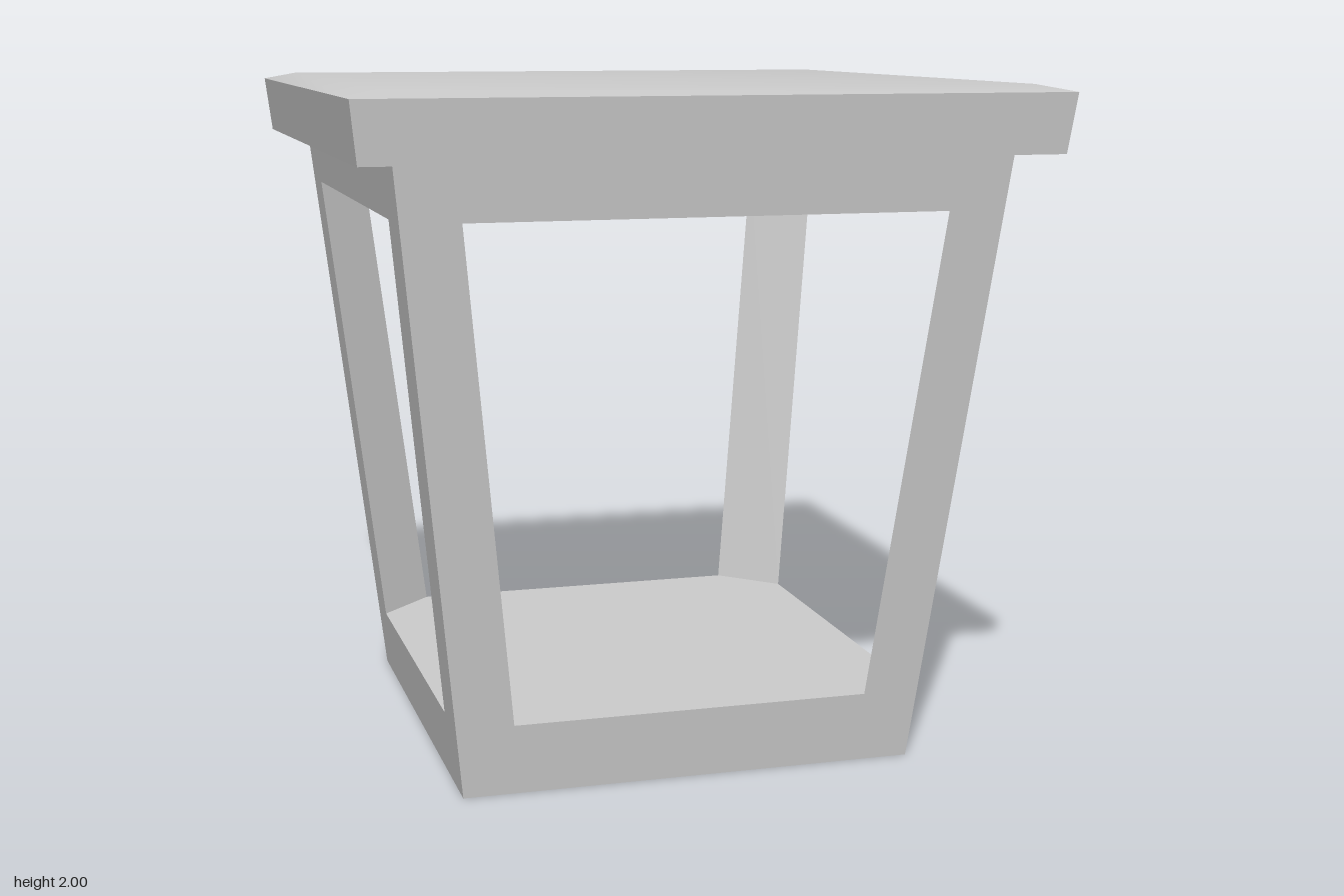
import * as THREE from 'three';
import { toCreasedNormals } from 'three/addons/utils/BufferGeometryUtils.js';

const FOOT = 0.675, NECK = 0.875, NECK_Y = 1.81;     // flaring square body
const SILL = { y: 0.21, w: 0.53 }, HEAD = { y: 1.65, w: 0.69 }; // window opening

// half width of the flaring body at height y
const half = (y) => FOOT + (NECK - FOOT) * y / NECK_Y;

const polygon = (points) => new THREE.Shape(points.map(([x, y]) => new THREE.Vector2(x, y)));

// sloping side sheet with its window
function wallGeometry() {
  const shape = polygon([[-FOOT, 0], [FOOT, 0], [NECK, NECK_Y], [-NECK, NECK_Y]]);
  shape.holes.push(polygon([
    [-SILL.w, SILL.y], [-HEAD.w, HEAD.y], [HEAD.w, HEAD.y], [SILL.w, SILL.y],
  ]));
  const geometry = new THREE.ShapeGeometry(shape);
  const p = geometry.attributes.position;
  for (let i = 0; i < p.count; i++) p.setZ(i, half(p.getY(i)));
  geometry.computeVertexNormals();
  return geometry;
}

// diagonal inner face that turns each corner into a triangular post
function postGeometry() {
  const a = half(SILL.y), b = half(HEAD.y);
  const geometry = new THREE.BufferGeometry();
  geometry.setAttribute('position', new THREE.Float32BufferAttribute([
    SILL.w, SILL.y, a, a, SILL.y, SILL.w,
    b, HEAD.y, HEAD.w, HEAD.w, HEAD.y, b,
  ], 3));
  geometry.setIndex([0, 2, 1, 0, 3, 2]);
  geometry.computeVertexNormals();
  return geometry;
}

// horizontal sheet with clipped corners; up = 1 faces up, -1 faces down
function deckGeometry({ y, w }, up) {
  const h = half(y);
  const geometry = new THREE.ShapeGeometry(polygon([
    [w, -h], [h, -w], [h, w], [w, h], [-w, h], [-h, w], [-h, -w], [-w, -h],
  ]));
  return geometry.rotateX(-up * Math.PI / 2).translate(0, y, 0);
}

// square slab with leaning sides and a softly bevelled top
function capGeometry() {
  const profile = [[0, NECK_Y], [0.98, NECK_Y], [1, 1.98], [0.91, 2], [0, 2]]
    .map(([r, y]) => new THREE.Vector2(r * Math.SQRT2, y));
  const geometry = new THREE.LatheGeometry(profile, 4).rotateY(Math.PI / 4);
  return toCreasedNormals(geometry, 0.5);
}

export function createModel() {
  const model = new THREE.Group();
  const material = new THREE.MeshStandardMaterial({ color: 0xcccccc, side: THREE.DoubleSide });
  const add = (name, geometry, turn = 0) => {
    const mesh = new THREE.Mesh(geometry, material);
    mesh.name = name;
    mesh.rotation.y = turn;
    model.add(mesh);
  };

  // four sides and four corner posts
  const wall = wallGeometry(), post = postGeometry();
  ['front', 'left', 'back', 'right'].forEach((side, i) => {
    add(side + 'Wall', wall, i * Math.PI / 2);
    add('cornerPost' + (i + 1), post, i * Math.PI / 2);
  });

  add('floor', deckGeometry(SILL, 1));
  add('ceiling', deckGeometry(HEAD, -1));
  add('cap', capGeometry());
  return model;
}
